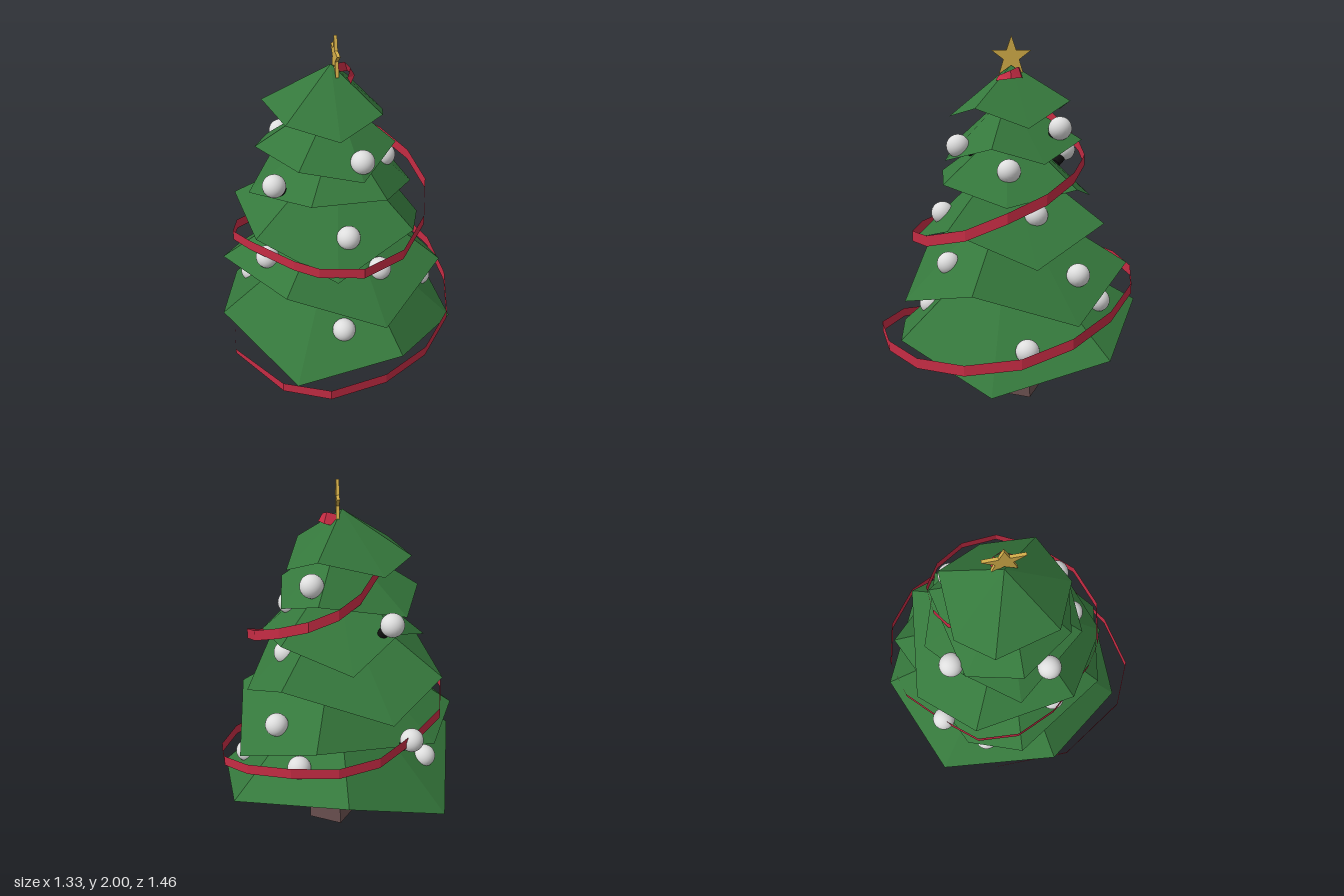
import * as THREE from 'three';

const mat = (name, color, opts = {}) => {
  const m = new THREE.MeshStandardMaterial({ color, ...opts });
  m.name = name;
  return m;
};

const fromTriangles = (pos) => {
  const g = new THREE.BufferGeometry();
  g.setAttribute('position', new THREE.Float32BufferAttribute(pos, 3));
  g.computeVertexNormals();
  return g;
};

// Skin over a stack of point rows; closed rows wrap around
function skin(rows, closed) {
  const pos = [], n = rows[0].length;
  for (let r = 0; r < rows.length - 1; r++) {
    const a = rows[r], b = rows[r + 1];
    for (let i = 0; i < (closed ? n : n - 1); i++) {
      const j = (i + 1) % n;
      pos.push(...a[i], ...a[j], ...b[j], ...a[i], ...b[j], ...b[i]);
    }
  }
  return fromTriangles(pos);
}

// Each tier: apex, then the seven drooping rim corners (x, y, z), ordered around the trunk
const TIERS = [
  { apex: [0, 0.95, 0], rim: [[-0.31, 0.30, 0.61], [0.26, 0.41, 0.59], [0.66, 0.26, 0.12],
    [0.56, 0.40, -0.49], [-0.04, 0.51, -0.73], [-0.57, 0.29, -0.50], [-0.67, 0.48, 0.15]] },
  { apex: [0, 1.18, 0], rim: [[-0.34, 0.77, 0.46], [0.17, 0.60, 0.57], [0.54, 0.755, 0.21],
    [0.53, 0.58, -0.33], [0.12, 0.785, -0.645], [-0.52, 0.635, -0.33], [-0.645, 0.73, -0.04]] },
  { apex: [0, 1.41, 0], rim: [[-0.47, 1.03, 0.27], [-0.08, 0.885, 0.52], [0.35, 1.04, 0.33],
    [0.49, 0.87, -0.12], [0.29, 1.055, -0.485], [-0.27, 0.89, -0.56], [-0.55, 1.01, -0.275]] },
  { apex: [0, 1.55, 0], rim: [[-0.19, 1.25, 0.36], [0.20, 1.25, 0.35], [0.40, 1.17, 0.03],
    [0.29, 1.235, -0.34], [-0.07, 1.12, -0.465], [-0.31, 1.27, -0.29], [-0.48, 1.145, -0.02]] },
  { apex: [-0.01, 1.70, 0], rim: [[-0.24, 1.41, 0.28], [0.08, 1.355, 0.34], [0.29, 1.45, 0.10],
    [0.29, 1.37, -0.17], [0.10, 1.465, -0.385], [-0.35, 1.36, -0.28], [-0.435, 1.43, 0]] },
  { apex: [-0.03, 1.85, -0.02], rim: [[-0.29, 1.63, 0.20], [-0.035, 1.575, 0.315], [0.20, 1.645, 0.18],
    [0.26, 1.55, -0.09], [0.10, 1.67, -0.32], [-0.23, 1.585, -0.305], [-0.38, 1.635, -0.13]] },
];

// Ornament centres, with an optional steepness for the cap
const BAUBLES = [
  [-0.035, 0.51, 0.44, 0.4], [0.515, 0.445, -0.07], [0.21, 0.60, -0.48], [-0.485, 0.485, -0.22],
  [0.175, 0.815, 0.33, 0.4], [0.325, 0.785, -0.35], [-0.38, 0.73, -0.44], [-0.41, 0.85, 0.175],
  [0, 1.05, 0.36], [0.275, 1.10, -0.13], [-0.355, 1.27, 0.15], [-0.27, 1.345, -0.34],
  [0.25, 1.33, 0.01], [0.085, 1.435, 0.27, 0.4], [0.13, 1.53, -0.265],
];

// Garland centre line spiralling upward
const GARLAND = [
  [-0.61, 0.205, -0.18], [-0.62, 0.275, 0.25], [-0.39, 0.315, 0.62], [-0.15, 0.325, 0.73],
  [0.155, 0.335, 0.665], [0.41, 0.345, 0.50], [0.60, 0.385, 0.255], [0.66, 0.44, -0.03],
  [0.62, 0.525, -0.29], [0.48, 0.61, -0.50], [0.25, 0.68, -0.65], [0.01, 0.70, -0.69],
  [-0.20, 0.72, -0.63], [-0.40, 0.75, -0.44], [-0.55, 0.79, -0.27], [-0.58, 0.86, -0.05],
  [-0.50, 0.925, 0.16], [-0.29, 0.935, 0.40], [-0.17, 0.93, 0.48], [0.055, 0.935, 0.525],
  [0.275, 0.97, 0.44], [0.43, 1.04, 0.24], [0.485, 1.14, 0.03], [0.43, 1.22, -0.17],
  [0.30, 1.30, -0.32], [0.15, 1.365, -0.395], [0, 1.42, -0.38], [-0.11, 1.48, -0.32],
  [-0.22, 1.60, -0.20], [-0.13, 1.69, -0.02], [0, 1.805, -0.07], [0.055, 1.815, -0.06],
  [0.08, 1.805, -0.01], [0.05, 1.785, 0.06],
];

export function createModel() {
  const tree = new THREE.Group();
  tree.name = 'decoratedTree';
  const green = mat('foliage green', 0x35783c, { flatShading: true, side: THREE.DoubleSide });
  const brown = mat('bark brown', 0x6b5150, { flatShading: true });
  const red = mat('garland red', 0xc62c44, { flatShading: true, side: THREE.DoubleSide });
  const white = mat('bauble white', 0xdedede);
  const black = mat('cap black', 0x111111);
  const gold = mat('star gold', 0xd6b04a);
  const add = (geo, material, name, parent = tree) => {
    const mesh = new THREE.Mesh(geo, material);
    mesh.name = name;
    parent.add(mesh);
    return mesh;
  };

  // Trunk: four-sided, nearly straight at the foot, then tapering; first row closes the base
  const foot = [[0.047, 0.145], [0.158, -0.115], [-0.02, -0.19], [-0.168, 0.05]];
  const ring = (y, k, dx) => foot.map(([x, z]) => [x * k + dx, y, z * k]);
  add(skin([ring(0, 0, 0), ring(0, 1, 0), ring(0.5, 0.86, 0.015), ring(1.72, 0.12, 0)], true),
    brown, 'trunk');

  // Foliage: open seven-sided skirts with uneven rims
  TIERS.forEach(({ apex, rim }, t) => {
    const pos = rim.flatMap((p, i) => [...p, ...rim[(i + 1) % rim.length], ...apex]);
    add(fromTriangles(pos), green, `foliageTier${t + 1}`);
  });

  // Garland: upright ribbon, narrowing at both ends and leaning inward at the tip of the tree
  const edge = (sign) => GARLAND.map(([x, y, z], i) => {
    const h = 0.029 * Math.min(1, 0.1 + 0.4 * i, 0.45 + 0.25 * (GARLAND.length - 1 - i));
    const lean = y > 1.75 ? 1 - sign * 0.14 : 1;
    return [x * lean, y + sign * h, z * lean];
  });
  add(skin([edge(-1), edge(1)], false), red, 'garland');

  // Ornaments: white balls with black caps pointing in and down
  const ballGeo = new THREE.SphereGeometry(0.062, 24, 16);
  const neckGeo = new THREE.CylinderGeometry(0.034, 0.028, 0.05, 14).translate(0, -0.072, 0);
  const capGeo = new THREE.CylinderGeometry(0.026, 0.023, 0.03, 14).translate(0, -0.11, 0);
  const up = new THREE.Vector3(0, 1, 0);
  BAUBLES.forEach(([x, y, z, steepness = 1], i) => {
    const bauble = new THREE.Group();
    bauble.name = `bauble${i + 1}`;
    add(ballGeo, white, 'ball', bauble);
    add(neckGeo, black, 'capCollar', bauble);
    add(capGeo, black, 'capEnd', bauble);
    const r = Math.hypot(x, z);
    bauble.quaternion.setFromUnitVectors(up, new THREE.Vector3(x / r, steepness, z / r).normalize());
    bauble.position.set(x, y, z);
    tree.add(bauble);
  });

  // Star: thin five-pointed plate facing sideways
  const star = new THREE.Shape();
  for (let i = 0; i < 10; i++) {
    const r = i % 2 ? 0.044 : 0.11, a = Math.PI / 2 + (i * Math.PI) / 5;
    star[i ? 'lineTo' : 'moveTo'](r * Math.cos(a), r * Math.sin(a));
  }
  star.closePath();
  const starGeo = new THREE.ExtrudeGeometry(star, { depth: 0.017, bevelEnabled: false });
  starGeo.translate(0, 0, -0.0085).rotateY(Math.PI / 2);
  add(starGeo, gold, 'star').position.set(-0.007, 1.89, -0.017);

  return tree;
}
